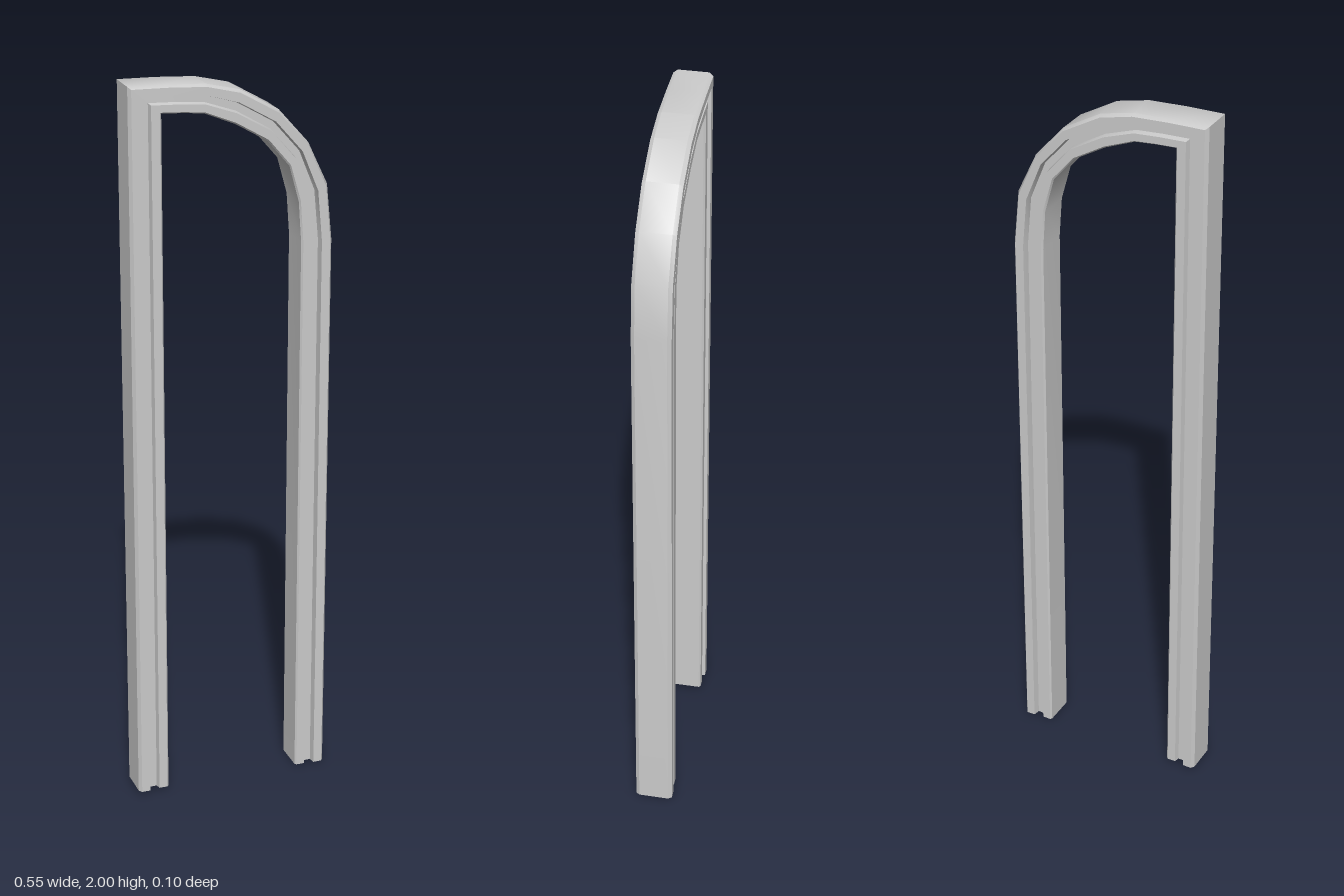
import * as THREE from 'three';
import { toCreasedNormals } from 'three/addons/utils/BufferGeometryUtils.js';

// Stations along the frame: outer edge x, y, then inner edge x, y
const stations = [
  [-0.275, 0.01, -0.188, 0.01],
  [-0.275, 2.0, -0.188, 1.925],
  [-0.175, 1.997, -0.13, 1.921],
  [-0.07, 1.99, -0.075, 1.915],
  [0.02, 1.968, 0.008, 1.88],
  [0.125, 1.907, 0.095, 1.828],
  [0.206, 1.815, 0.155, 1.757],
  [0.26, 1.7, 0.182, 1.66],
  [0.275, 1.55, 0.19, 1.55],
  [0.275, 0, 0.19, 0],
];

// Front half of the moulding: fraction from outer to inner edge, half depth
const half = [
  [0, 0.041], [0.08, 0.051], [0.36, 0.051], [0.4, 0.032],
  [0.64, 0.032], [0.68, 0.047], [0.95, 0.047], [1, 0.042],
];

// Sweep the closed moulding section through the stations, open at the feet
function sweepMoulding() {
  const section = [...half, ...half.map(([u, z]) => [u, -z]).reverse()];
  const n = section.length;
  const positions = [];
  const indices = [];
  stations.forEach(([ox, oy, ix, iy], i) => {
    section.forEach(([u, z], j) => {
      positions.push(ox + (ix - ox) * u, oy + (iy - oy) * u, z);
      if (i === stations.length - 1) return;
      const a = i * n + j;
      const b = i * n + (j + 1) % n;
      indices.push(a, b, a + n, b, b + n, a + n);
    });
  });
  const geometry = new THREE.BufferGeometry();
  geometry.setAttribute('position', new THREE.Float32BufferAttribute(positions, 3));
  geometry.setIndex(indices);
  return toCreasedNormals(geometry, 0.55);
}

export function createModel() {
  const group = new THREE.Group();
  group.name = 'doorFrame';
  const material = new THREE.MeshStandardMaterial({ color: 0xcccccc, side: THREE.DoubleSide });
  const frame = new THREE.Mesh(sweepMoulding(), material);
  frame.name = 'frameMoulding';
  group.add(frame);
  return group;
}
